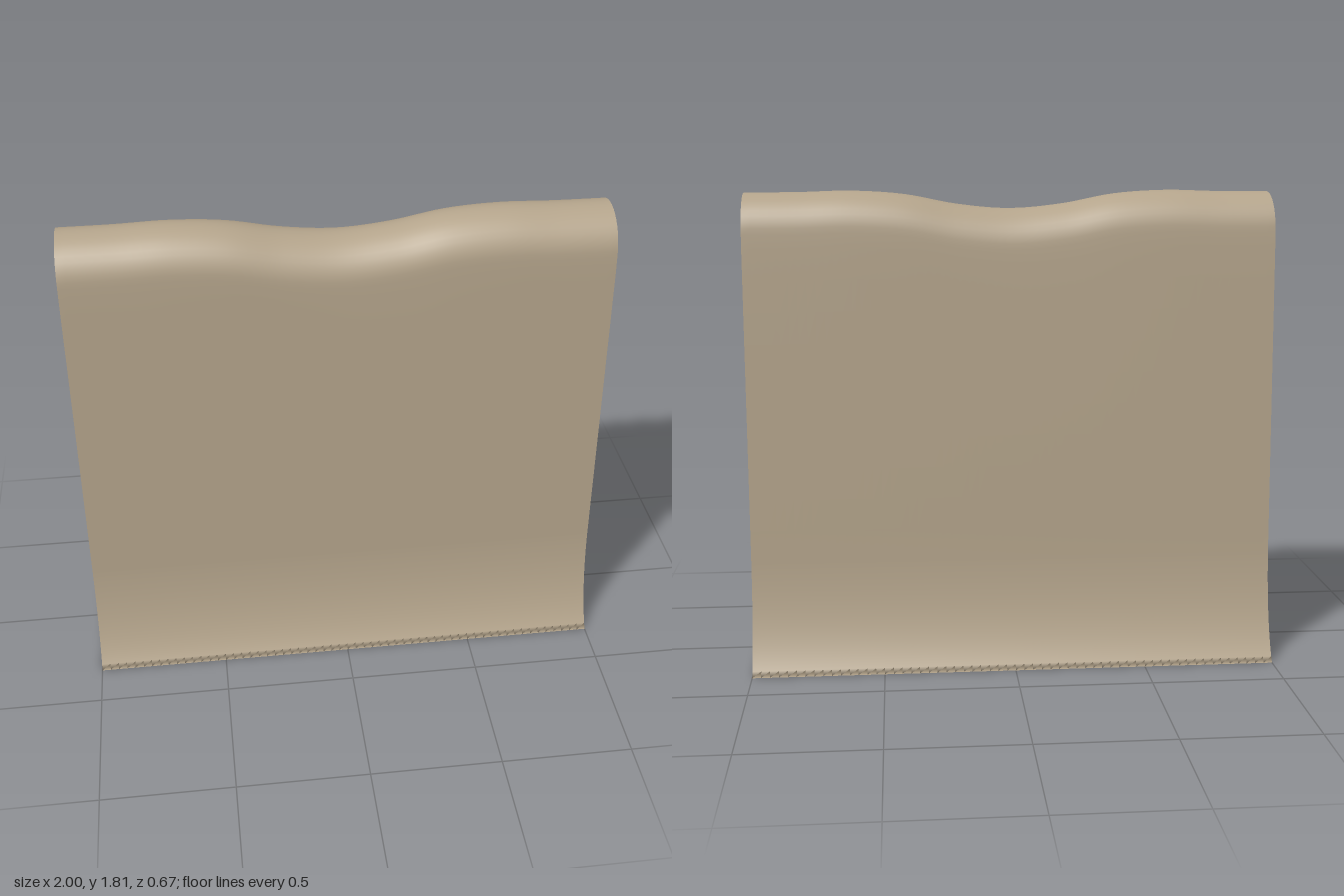
import * as THREE from 'three';

const SEG_X = 60;
const CAP_Y = 1.65, CAP_R = 0.15;

// Half cross-section (x = distance from the middle, y = height), hem to ridge
function halfProfile() {
  const flare = new THREE.QuadraticBezierCurve(
    new THREE.Vector2(0.335, 0), new THREE.Vector2(0.237, 0.14), new THREE.Vector2(0.217, 0.42));
  const pts = flare.getPoints(14);
  for (let k = 1; k <= 10; k++) {
    const t = k / 10;
    pts.push(new THREE.Vector2(THREE.MathUtils.lerp(0.217, 0.155, t), THREE.MathUtils.lerp(0.42, 1.6, t)));
  }
  for (let k = 0; k <= 10; k++) {
    const a = (k / 10) * Math.PI / 2;
    pts.push(new THREE.Vector2(CAP_R * Math.cos(a), CAP_Y + CAP_R * Math.sin(a)));
  }
  return pts;
}

// Dip of the ridge along its length: deepest in the middle, slight rise beside it
const dip = [0, 0.001, 0.006, -0.007, -0.044];
const ridge = new THREE.SplineCurve(
  [...dip, -0.061, ...dip.slice().reverse()].map((y, i) => new THREE.Vector2(-1 + i * 0.2, y)));

export function createModel() {
  const group = new THREE.Group();
  group.name = 'drapedCover';

  // Closed loop: up the front, over the ridge, down the back; the last span is the floor
  const half = halfProfile();
  const loop = [
    ...half.map((p) => [p.x, p.y]),
    ...half.slice(0, -1).reverse().map((p) => [-p.x, p.y]),
  ];
  const n = loop.length;
  const positions = [], index = [];
  for (let i = 0; i <= SEG_X; i++) {
    const t = i / SEG_X;
    const sag = ridge.getPoint(t).y;
    for (const [z, y] of loop) {
      // the sag fades out down the walls
      positions.push(-1 + 2 * t, y + sag * THREE.MathUtils.smoothstep(y, 0.9, 1.62), z);
    }
  }
  for (let i = 0; i < SEG_X; i++) {
    for (let j = 0; j < n; j++) {
      const k = (j + 1) % n;
      const a = i * n + j, b = a + n, c = (i + 1) * n + k, d = i * n + k;
      index.push(a, b, c, a, c, d);
    }
  }
  const geometry = new THREE.BufferGeometry();
  geometry.setAttribute('position', new THREE.Float32BufferAttribute(positions, 3));
  geometry.setIndex(index);
  geometry.computeVertexNormals();

  const material = new THREE.MeshStandardMaterial({ color: 0xb5a58c, side: THREE.DoubleSide });
  const sheet = new THREE.Mesh(geometry, material);
  sheet.name = 'sheet';
  group.add(sheet);
  return group;
}
